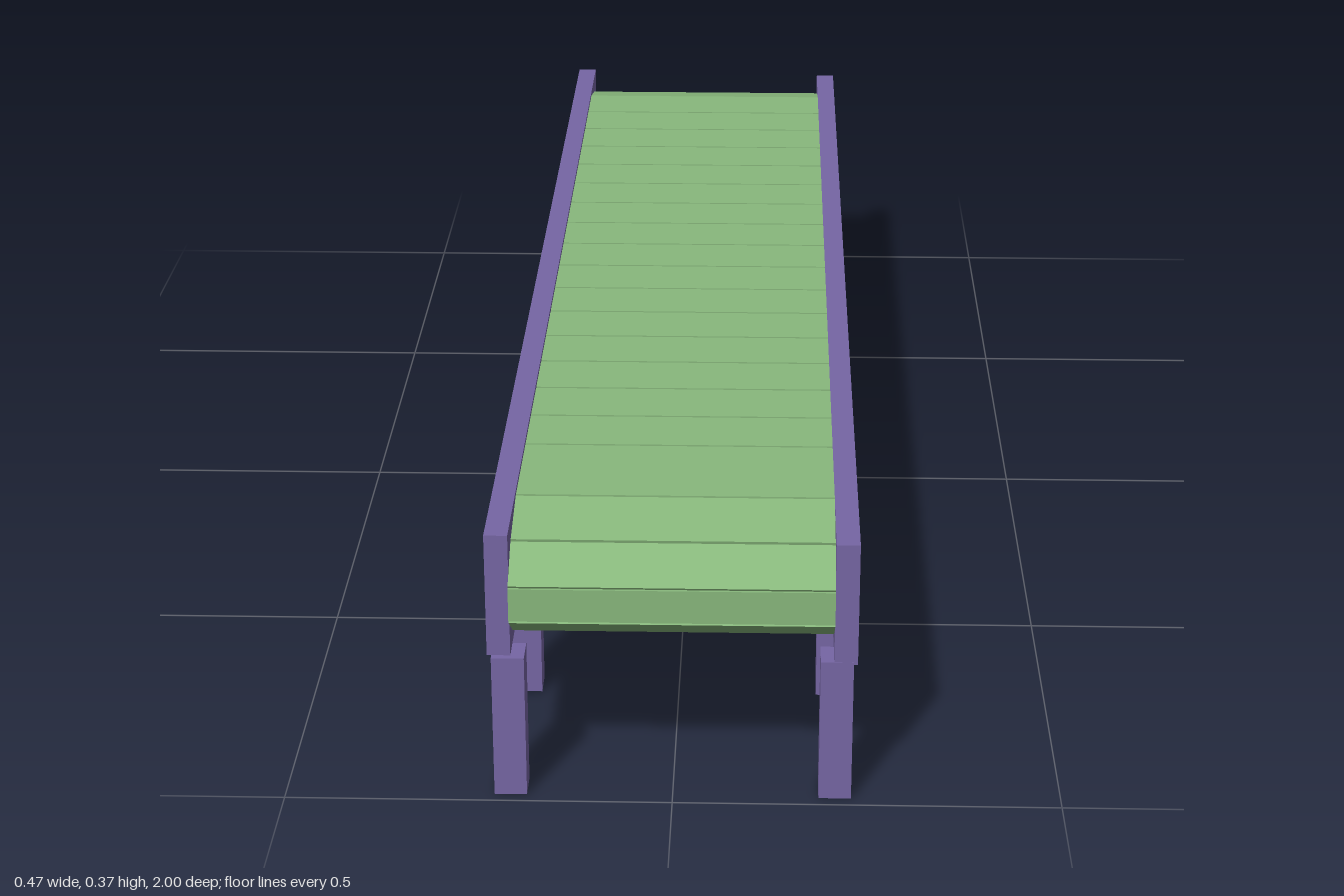
import * as THREE from 'three';

const purple = new THREE.MeshStandardMaterial({ color: 0x7666a4, flatShading: true });
const green = new THREE.MeshStandardMaterial({ color: 0x88b87c, flatShading: true });

function box(name, material, size, position) {
  const mesh = new THREE.Mesh(new THREE.BoxGeometry(...size), material);
  mesh.name = name;
  mesh.position.set(...position);
  return mesh;
}

// Flat slat whose outer face runs from a to b, each given as [z, y]
function slat(a, b) {
  const thick = 0.008, gap = 0.004;
  const dz = b[0] - a[0], dy = b[1] - a[1], len = Math.hypot(dz, dy);
  const mesh = box('beltSlat', green, [0.41, thick, len - gap], [
    0,
    (a[1] + b[1]) / 2 - (dz / len) * thick / 2,
    (a[0] + b[0]) / 2 + (dy / len) * thick / 2,
  ]);
  mesh.rotation.x = -Math.atan2(dy, dz);
  return mesh;
}

export function createModel() {
  const model = new THREE.Group();
  model.name = 'conveyor';

  // Side rails, the right one set slightly higher
  model.add(box('leftRail', purple, [0.03, 0.168, 1.972], [0.22, 0.278, -0.003]));
  model.add(box('rightRail', purple, [0.03, 0.168, 1.972], [-0.22, 0.286, -0.003]));

  // Eight pairs of legs
  for (const z of [0.963, 0.69, 0.415, 0.142, -0.15, -0.425, -0.706, -0.966]) {
    for (const side of [1, -1]) {
      model.add(box('leg', purple, [0.042, 0.198, 0.042], [side * 0.209, 0.099, z]));
    }
  }

  // Belt loop: top run, front end, bottom run, back end
  const path = [];
  for (let i = 0; i <= 16; i++) path.push([-0.85 + i * 0.0963, 0.364]);
  path.push([0.85, 0.364], [0.94, 0.343], [0.998, 0.305], [0.998, 0.256], [0.94, 0.215]);
  for (let i = 0; i <= 17; i++) path.push([0.85 - i * 0.1, 0.194]);
  path.push([-0.94, 0.215], [-0.998, 0.256], [-0.998, 0.305], [-0.94, 0.343]);

  const belt = new THREE.Group();
  belt.name = 'belt';
  path.forEach((p, i) => belt.add(slat(p, path[(i + 1) % path.length])));
  model.add(belt);

  return model;
}
